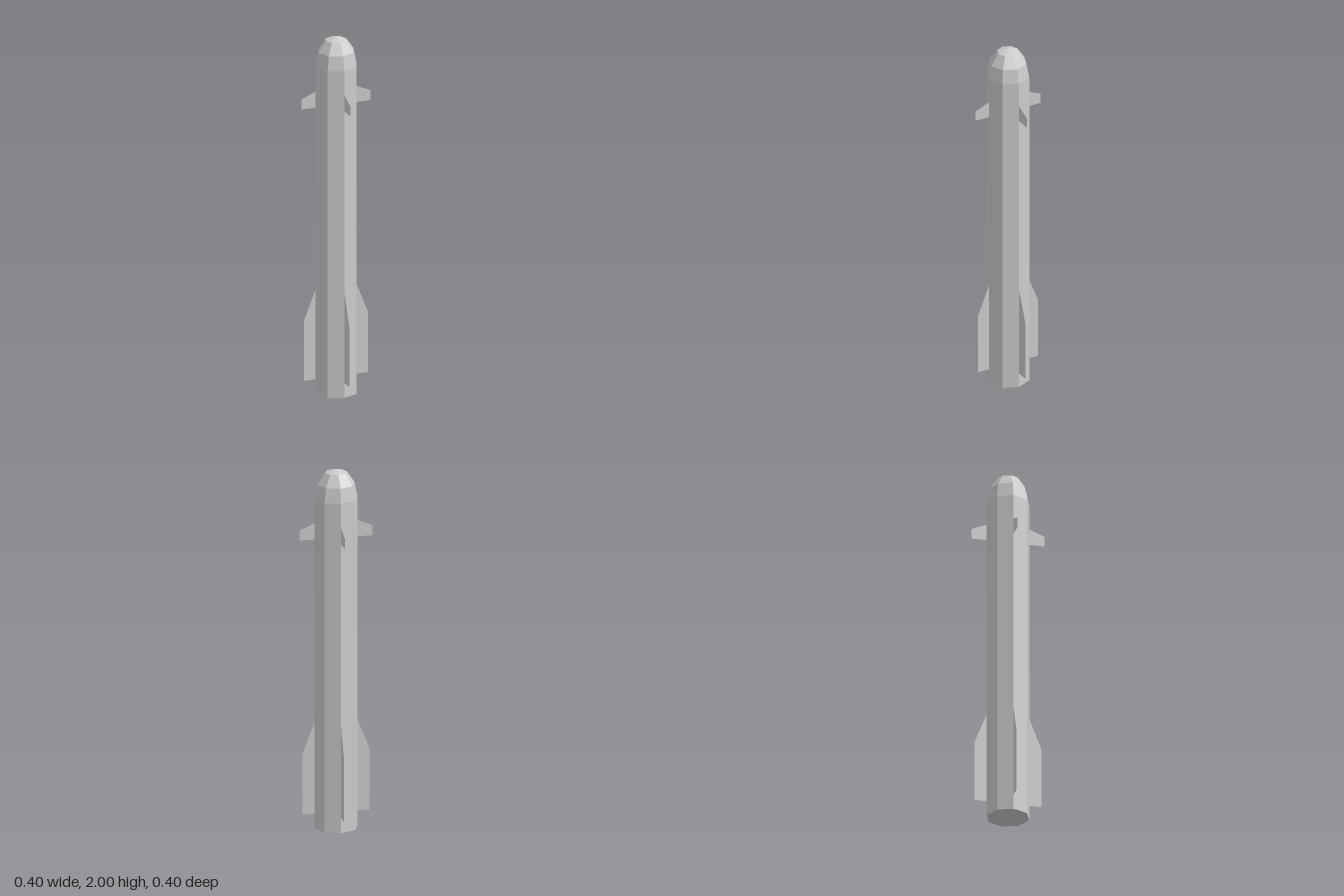
import * as THREE from 'three';

export function createModel() {
  const group = new THREE.Group();
  const R = 0.117;

  // Eight-sided body with closed base and faceted rounded nose
  const profile = [[0, 0], [R, 0], [R, 1.84], [0.101, 1.92], [0.059, 1.982], [0, 2]]
    .map(([r, y]) => new THREE.Vector2(r, y));
  const body = new THREE.Mesh(
    new THREE.LatheGeometry(profile, 8),
    new THREE.MeshStandardMaterial({ color: 0xcccccc, flatShading: true })
  );
  body.name = 'body';
  group.add(body);

  // Thin fins, four of each kind, set on the body's edges
  const finMaterial = new THREE.MeshStandardMaterial({
    color: 0xcccccc, flatShading: true, side: THREE.DoubleSide
  });
  function addFins(name, outline) {
    const shape = new THREE.Shape(outline.map(([x, y]) => new THREE.Vector2(x, y)));
    const geometry = new THREE.ShapeGeometry(shape);
    for (let i = 0; i < 4; i++) {
      const fin = new THREE.Mesh(geometry, finMaterial);
      fin.name = name + (i + 1);
      fin.rotation.y = i * Math.PI / 2;
      group.add(fin);
    }
  }
  addFins('tailFin', [[R, 0.083], [0.184, 0.083], [0.184, 0.423], [R, 0.592]]);
  addFins('noseFin', [[R, 1.614], [0.2, 1.614], [0.2, 1.67], [R, 1.705]]);

  return group;
}
